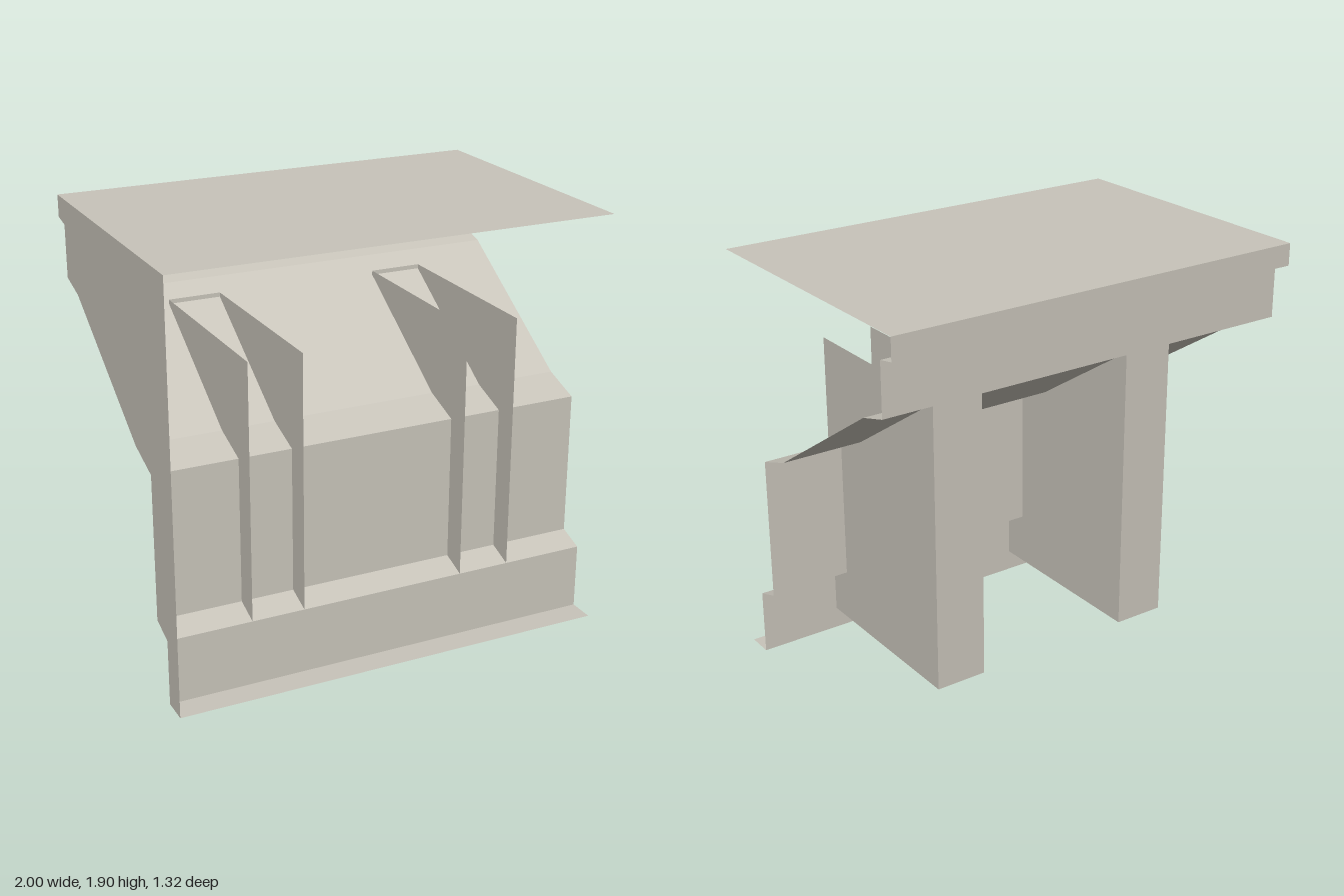
import * as THREE from 'three';

const stone = new THREE.MeshStandardMaterial({ color: 0xc8c4ba, side: THREE.DoubleSide });
stone.name = 'warm grey stone';

// Sweep an open [z, y] profile straight along x, with one flat quad per segment.
function sweep(profile, x0, x1) {
  const pos = [];
  for (let i = 0; i < profile.length - 1; i++) {
    const [za, ya] = profile[i];
    const [zb, yb] = profile[i + 1];
    pos.push(x0, ya, za, x0, yb, zb, x1, yb, zb);
    pos.push(x0, ya, za, x1, yb, zb, x1, ya, za);
  }
  const geo = new THREE.BufferGeometry();
  geo.setAttribute('position', new THREE.Float32BufferAttribute(pos, 3));
  geo.computeVertexNormals();
  return geo;
}

// Flat side sheet from a closed [z, y] outline, facing -x or +x.
function sideSheet(outline, x, facing) {
  const shape = new THREE.Shape(outline.map(([z, y]) => new THREE.Vector2(facing < 0 ? z : -z, y)));
  return new THREE.ShapeGeometry(shape).rotateY(facing * Math.PI / 2).translate(x, 0, 0);
}

function addMesh(parent, geometry, name) {
  const mesh = new THREE.Mesh(geometry, stone);
  mesh.name = name;
  parent.add(mesh);
}

export function createModel() {
  const group = new THREE.Group();
  group.name = 'bracketedCornice';

  // Moulding profile, from the foot of the wall up to the top slab
  const sections = {
    baseBand: [[0.66, 0], [0.54, 0], [0.54, 0.3], [0.425, 0.34]],
    friezePanel: [[0.425, 0.34], [0.425, 1]],
    slopedSoffit: [[0.425, 1], [0.25, 1.06], [-0.44, 1.505], [-0.58, 1.545]],
    upperFascia: [[-0.58, 1.545], [-0.58, 1.785]],
    topLip: [[-0.58, 1.785], [-0.66, 1.8], [-0.66, 1.9]],
    topSlab: [[-0.66, 1.9], [0.66, 1.9]],
  };
  for (const [name, profile] of Object.entries(sections)) {
    addMesh(group, sweep(profile, -1, 1), name);
  }

  // Closed end on one side; the other end and the front stay open
  const outline = Object.values(sections).flatMap((p) => p.slice(0, -1)).concat([[0.66, 1.9]]);
  addMesh(group, sideSheet(outline, -1, -1), 'endCap');

  // Pair of hollow brackets, open at the top and against the wall
  const bracketEdge = [[0.54, 0.1], [-0.34, 0.1], [-0.34, 1.46]];
  const bracketSide = [...bracketEdge, [0.54, 1.46]];
  for (const side of [-1, 1]) {
    const bracket = new THREE.Group();
    bracket.name = side > 0 ? 'leftBracket' : 'rightBracket';
    addMesh(bracket, sweep(bracketEdge, -0.12, 0.12), 'bracketFaceAndBase');
    for (const s of [-1, 1]) addMesh(bracket, sideSheet(bracketSide, s * 0.12, s), 'bracketSide');
    bracket.position.x = side * 0.5;
    group.add(bracket);
  }
  return group;
}
